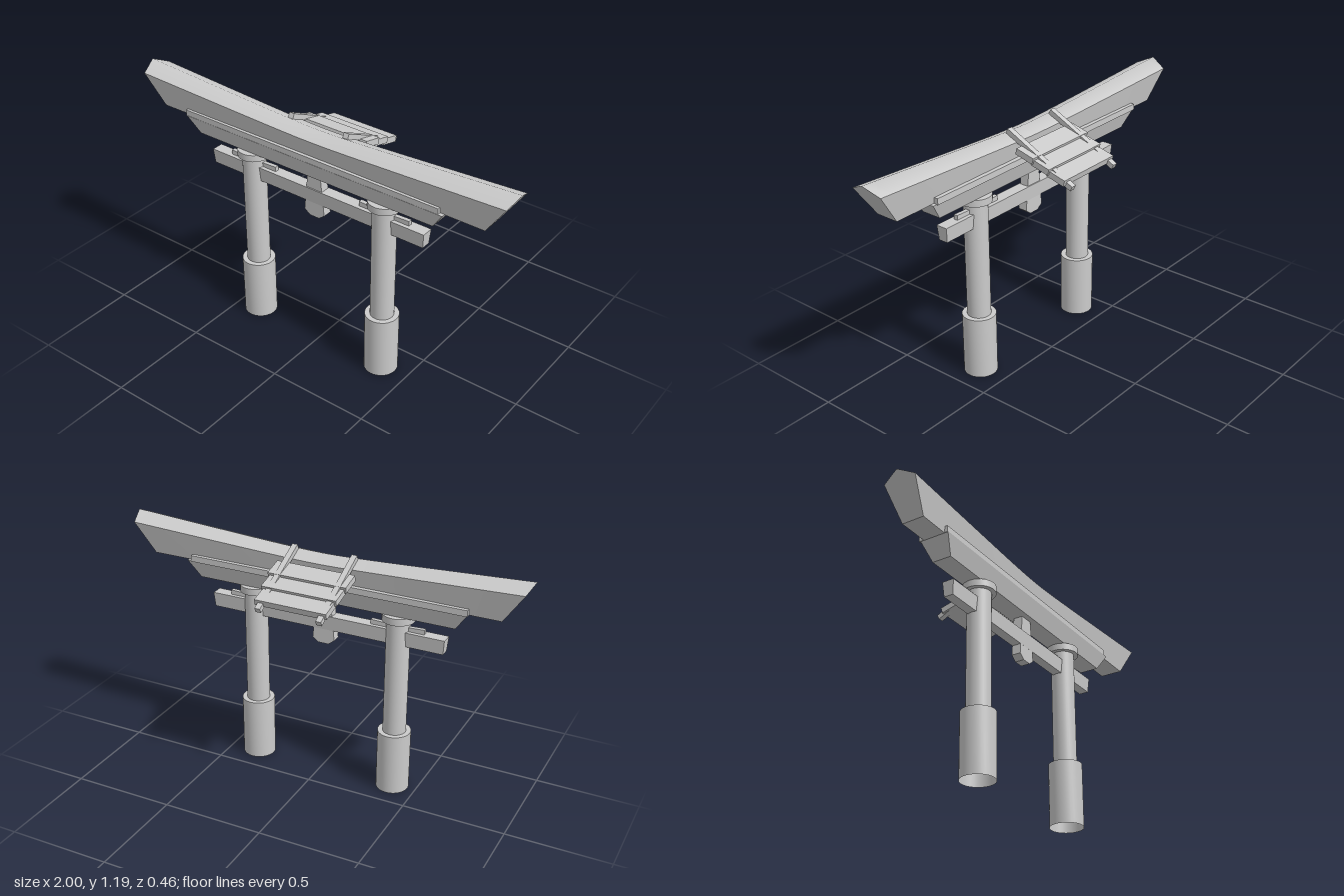
import * as THREE from 'three';
import { toCreasedNormals } from 'three/addons/utils/BufferGeometryUtils.js';

const Z = 0.147;      // depth of the gate's centre plane
const CX = -0.0135;   // sideways centre of the parts under the top beam

export function createModel() {
  const group = new THREE.Group();
  const mat = new THREE.MeshStandardMaterial({ color: 0xcccccc });
  const openMat = new THREE.MeshStandardMaterial({ color: 0xcccccc, side: THREE.DoubleSide });

  function add(name, geometry, x, y, z, material = mat) {
    const mesh = new THREE.Mesh(geometry, material);
    mesh.name = name;
    mesh.position.set(x, y, z);
    group.add(mesh);
    return mesh;
  }

  // Box whose lower face is narrowed in x and z
  function taperedBox(w, h, d, sx, sz) {
    const g = new THREE.BoxGeometry(w, h, d);
    const p = g.attributes.position;
    for (let i = 0; i < p.count; i++) {
      if (p.getY(i) < 0) p.setXYZ(i, p.getX(i) * sx, p.getY(i), p.getZ(i) * sz);
    }
    return toCreasedNormals(g, 0.3);
  }

  // Curved top beam: five-sided section swept along x, rising to the ends
  function topBeam() {
    const steps = 32, pos = [], idx = [];
    const rise = (x) => (Math.hypot(x, 0.15) - 0.15) / 0.861;
    for (let i = 0; i <= steps; i++) {
      const u = (i / steps) * 2 - 1, f = rise(u);
      const ridge = 1.139 + 0.05 * f, shoulder = 1.11 + 0.041 * f;
      const sz = 0.067 + 0.014 * f, bz = 0.051 + 0.004 * f;
      pos.push(u, ridge, 0,
        u * 0.978, shoulder, sz,
        u * 0.878, 1.003, bz,
        u * 0.878, 1.003, -bz,
        u * 0.978, shoulder, -sz);
    }
    for (let i = 0; i < steps; i++) {
      for (let k = 0; k < 5; k++) {
        const a = i * 5 + k, c = i * 5 + (k + 1) % 5;
        idx.push(a, c, c + 5, a, c + 5, a + 5);
      }
    }
    const e = steps * 5;
    for (let k = 1; k < 4; k++) idx.push(e, e + k, e + k + 1, 0, k + 1, k);
    const g = new THREE.BufferGeometry();
    g.setAttribute('position', new THREE.Float32BufferAttribute(pos, 3));
    g.setIndex(idx);
    return toCreasedNormals(g, 0.95);
  }
  add('topBeam', topBeam(), 0, 0, Z - 0.001);

  // Second beam and the thin plank lying on it
  add('lowerTopBeam', taperedBox(1.415, 0.085, 0.146, 0.917, 0.65), -0.02, 0.9625, Z - 0.001);
  add('beamPlank', new THREE.BoxGeometry(1.395, 0.03, 0.15), -0.032, 1.018, Z - 0.004);

  // Posts, open underneath, with a thick foot and a collar
  const profile = [[0.08, 0], [0.08, 0.31], [0.056, 0.31], [0.056, 0.887],
    [0.077, 0.887], [0.077, 0.921], [0, 0.921]].map(([r, y]) => new THREE.Vector2(r, y));
  const postGeo = toCreasedNormals(new THREE.LatheGeometry(profile, 32), 0.6);
  for (const side of [-1, 1]) {
    const label = side > 0 ? 'left' : 'right';
    const x = CX + side * 0.368;
    add(label + 'Post', postGeo, x, 0, Z, openMat);

    // Wedges on both sides of each post, above the tie beam
    for (const s of [-1, 1]) {
      const wedge = add(label + 'Wedge', new THREE.BoxGeometry(0.1, 0.026, 0.02), x + s * 0.082, 0.85, Z - 0.003);
      wedge.rotation.z = s * 0.04;
    }
  }

  // Tie beam through the posts
  add('tieBeam', taperedBox(1.192, 0.072, 0.058, 0.99, 0.8), -0.021, 0.806, Z - 0.003);

  // Centre strut, crossing the tie beam and bevelled at the bottom
  const strut = new THREE.Shape([[-0.035, 0.925], [-0.056, 0.72], [-0.026, 0.697],
    [0.026, 0.697], [0.056, 0.72], [0.035, 0.925]].map(([x, y]) => new THREE.Vector2(x, y)));
  add('centreStrut', new THREE.ExtrudeGeometry(strut, { depth: 0.046, bevelEnabled: false }),
    -0.016, 0, Z - 0.026);

  // Rear canopy: two sloping rails over three overlapping boards
  for (const side of [-1, 1]) {
    const rail = add('canopyRail', new THREE.BoxGeometry(0.027, 0.025, 0.405), CX + side * 0.15, 1.064, -0.046);
    rail.rotation.x = -0.455;
  }
  for (let i = 0; i < 3; i++) {
    const board = add('canopyBoard', new THREE.BoxGeometry(0.39 - i * 0.018, 0.03, 0.098),
      -0.01, 1.077 - i * 0.033, 0.006 - i * 0.08);
    board.rotation.x = -0.25;
  }

  return group;
}
